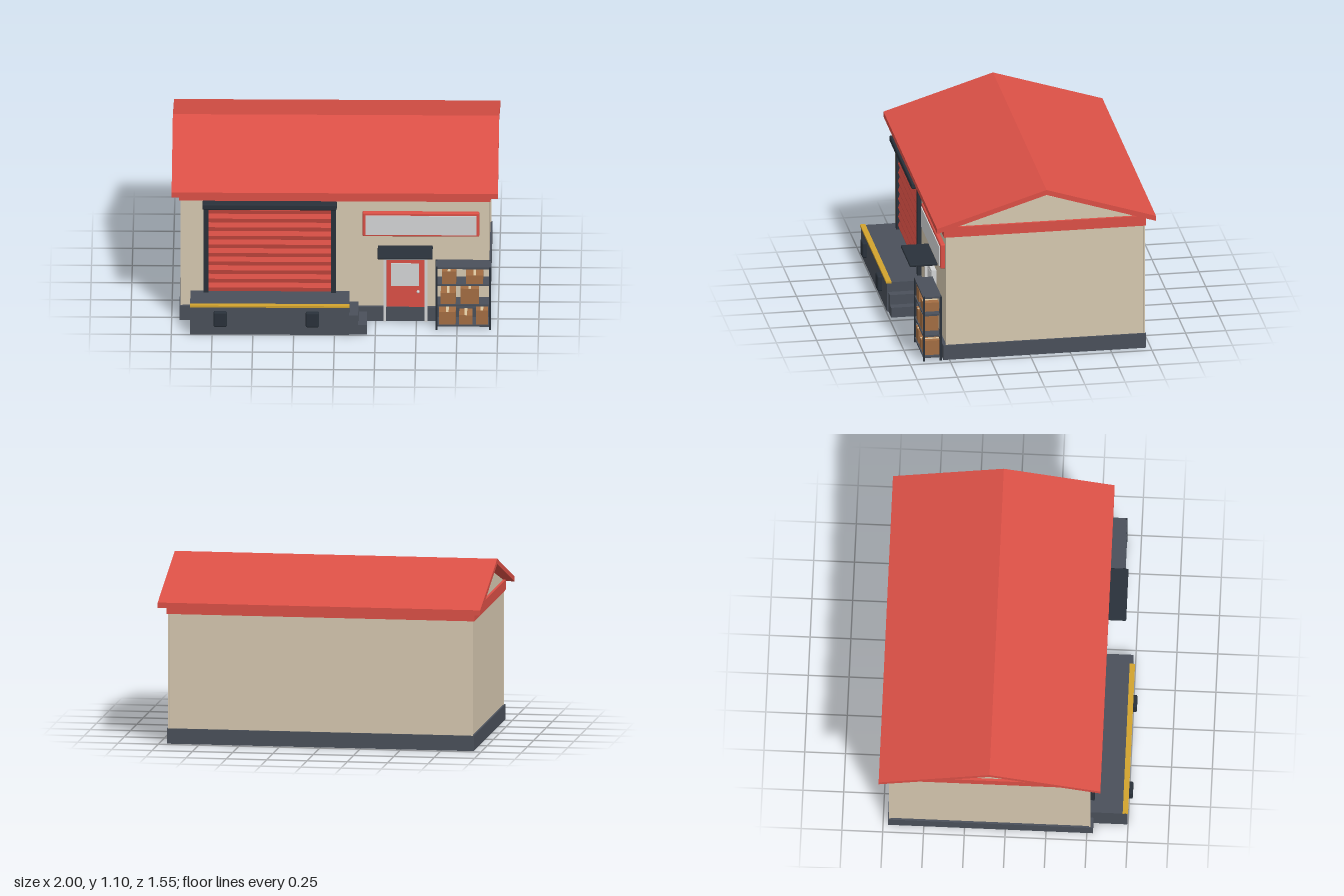
import * as THREE from 'three';
import { RoundedBoxGeometry } from 'three/addons/geometries/RoundedBoxGeometry.js';

const material = (name, color) => {
  const m = new THREE.MeshStandardMaterial({ color });
  m.name = name;
  return m;
};

export function createModel() {
  const group = new THREE.Group();
  group.name = 'warehouse';
  const red = material('red paint', 0xdb5046);
  const beige = material('beige wall', 0xd6c8b0);
  const slate = material('slate concrete', 0x4a505a);
  const dark = material('dark metal', 0x29313a);
  const grey = material('light grey', 0xd3d4d5);
  const yellow = material('safety yellow', 0xd2a32e);
  const brown = material('cardboard', 0xa36d42);
  const tape = material('packing tape', 0xdcc6a0);

  const add = (name, geometry, mat, parent = group) => {
    const mesh = new THREE.Mesh(geometry, mat);
    mesh.name = name;
    parent.add(mesh);
    return mesh;
  };
  // Boxes are given by their limits on each axis; r > 0 rounds the edges
  const box = (name, mat, [x0, x1], [y0, y1], [z0, z1], r = 0, parent = group) => {
    const size = [x1 - x0, y1 - y0, z1 - z0];
    const g = r ? new RoundedBoxGeometry(...size, 2, r) : new THREE.BoxGeometry(...size);
    g.translate((x0 + x1) / 2, (y0 + y1) / 2, (z0 + z1) / 2);
    return add(name, g, mat, parent);
  };
  // Extrudes a (z, y) profile along x
  const profile = (name, mat, points, x0, x1) => {
    const shape = new THREE.Shape(points.map(([z, y]) => new THREE.Vector2(-z, y)));
    const g = new THREE.ExtrudeGeometry(shape, { depth: x1 - x0, bevelEnabled: false });
    g.rotateY(Math.PI / 2).translate(x0, 0, 0);
    return add(name, g, mat);
  };

  // Building shell
  box('walls', beige, [-0.94, 0.94], [0.05, 0.83], [-0.71, 0.517]);
  box('plinth', slate, [-0.952, 0.952], [0, 0.094], [-0.72, 0.538]);
  box('fascia', red, [-0.955, 0.955], [0.805, 0.87], [-0.72, 0.534]);
  for (const x of [-0.94, 0.94]) for (const z of [-0.71, 0.517]) {
    box('cornerTrim', beige, [x - 0.005, x + 0.005], [0.09, 0.81], [z - 0.005, z + 0.005]);
  }
  profile('gable', beige, [[0.52, 0.87], [-0.095, 1.04], [-0.71, 0.87]], -0.94, 0.94);
  profile('roof', red, [[0.585, 0.85], [0.585, 0.883], [-0.095, 1.097], [-0.775, 0.883],
    [-0.775, 0.85], [-0.095, 1.064]], -1, 1);

  // Loading dock with steps
  box('dock', slate, [-0.885, 0.09], [0, 0.19], [0.5, 0.745]);
  box('dockEdge', yellow, [-0.885, 0.092], [0.184, 0.196], [0.717, 0.75]);
  box('upperStep', slate, [0.09, 0.145], [0, 0.127], [0.53, 0.736]);
  box('lowerStep', slate, [0.145, 0.198], [0, 0.064], [0.53, 0.736]);
  for (const x of [-0.7, -0.135]) {
    box('dockBumper', dark, [x - 0.041, x + 0.041], [0.06, 0.16], [0.74, 0.773], 0.01);
  }

  // Roller door with ridged slats
  const slats = 10, bottom = 0.19, pitch = 0.58 / slats;
  const ridge = [[0.51, bottom]];
  for (let i = 0; i < slats; i++) {
    const y = bottom + i * pitch;
    ridge.push([0.522, y], [0.532, y + pitch * 0.5]);
  }
  ridge.push([0.522, 0.77], [0.51, 0.77]);
  profile('rollerDoor', red, ridge, -0.775, -0.022);
  for (const x of [-0.79, -0.009]) {
    box('doorTrack', dark, [x - 0.016, x + 0.016], [0.19, 0.775], [0.51, 0.542]);
  }
  box('rollerHousing', dark, [-0.812, 0.012], [0.762, 0.8], [0.515, 0.58], 0.008);

  // Sign board
  box('signFrame', red, [0.17, 0.885], [0.573, 0.733], [0.51, 0.545], 0.008);
  box('signPanel', grey, [0.187, 0.868], [0.587, 0.715], [0.545, 0.551]);

  // Entrance door
  box('entranceDoor', red, [0.313, 0.552], [0.05, 0.42], [0.51, 0.532]);
  box('doorWindow', grey, [0.345, 0.517], [0.235, 0.388], [0.531, 0.536]);
  box('kickPlate', slate, [0.315, 0.55], [0.005, 0.092], [0.536, 0.541]);
  box('doorJamb', grey, [0.298, 0.315], [0, 0.44], [0.51, 0.547]);
  box('doorJamb', grey, [0.55, 0.567], [0, 0.44], [0.51, 0.547]);
  box('doorLintel', grey, [0.315, 0.55], [0.417, 0.44], [0.51, 0.547]);
  const knob = new THREE.SphereGeometry(0.01, 16, 12).translate(0.51, 0.2, 0.541);
  add('doorKnob', knob, grey);
  box('awning', dark, [0.263, 0.6], [0.483, 0.501], [0.51, 0.688], 0.006);

  // Storage rack
  const rack = new THREE.Group();
  rack.name = 'storageRack';
  group.add(rack);
  for (const x of [0.624, 0.952]) for (const z of [0.555, 0.658]) {
    box('rackPost', dark, [x - 0.006, x + 0.006], [0, 0.422], [z - 0.006, z + 0.006], 0, rack);
  }
  for (const y of [0.028, 0.165, 0.302, 0.416]) {
    box('rackShelf', slate, [0.62, 0.957], [y - 0.006, y + 0.006], [0.55, 0.663], 0, rack);
  }

  // Cartons: left, right, bottom, top
  const cartons = [
    [0.64, 0.742, 0.034, 0.117], [0.763, 0.845, 0.034, 0.096], [0.865, 0.94, 0.034, 0.128],
    [0.65, 0.742, 0.171, 0.247], [0.77, 0.884, 0.171, 0.275],
    [0.657, 0.745, 0.308, 0.391], [0.805, 0.91, 0.308, 0.365],
  ];
  for (const [x0, x1, y0, y1] of cartons) {
    const mid = (x0 + x1) / 2;
    box('carton', brown, [x0, x1], [y0, y1], [0.557, 0.656], 0, rack);
    box('cartonTape', tape, [mid - 0.008, mid + 0.008], [y1, y1 + 0.002], [0.557, 0.656], 0, rack);
  }
  return group;
}
